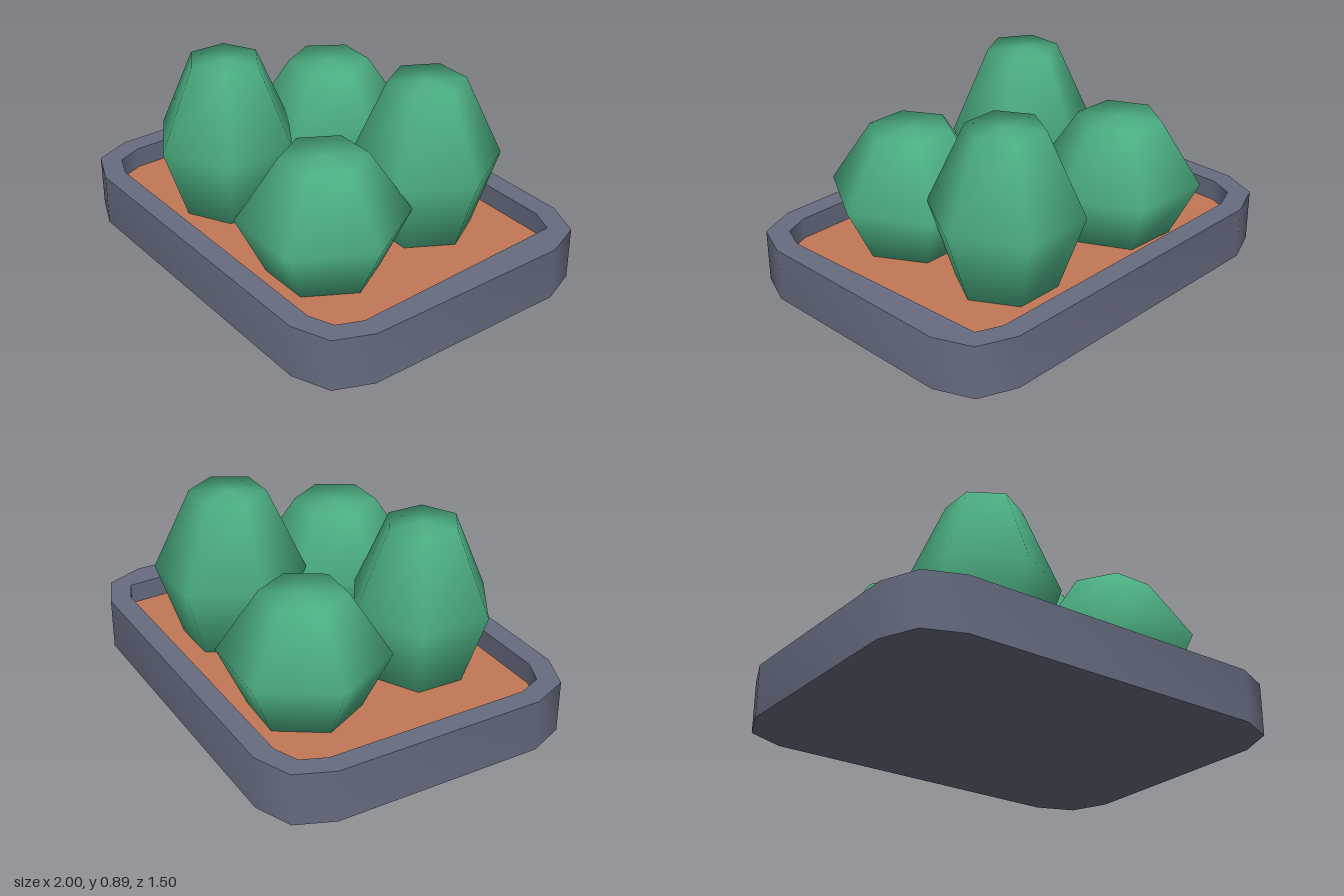
import * as THREE from 'three';
import { toCreasedNormals } from 'three/addons/utils/BufferGeometryUtils.js';

const mat = (name, color) => {
  const m = new THREE.MeshStandardMaterial({ color });
  m.name = name;
  return m;
};

// Rounded rectangle outline, two facets per corner, starting at the +x +y corner
function outline(halfX, halfY, r) {
  const points = [];
  [[1, 1], [-1, 1], [-1, -1], [1, -1]].forEach(([sx, sy], corner) => {
    for (let i = 0; i < 3; i++) {
      const a = corner * Math.PI / 2 + i * Math.PI / 4;
      points.push(new THREE.Vector2(
        sx * (halfX - r) + r * Math.cos(a), sy * (halfY - r) + r * Math.sin(a)));
    }
  });
  return points;
}

// Extrude a ground plan upwards from y = 0
function slab(shape, height) {
  const g = new THREE.ExtrudeGeometry(shape, { depth: height, bevelEnabled: false });
  g.rotateX(-Math.PI / 2);
  return toCreasedNormals(g, 0.87);
}

// Smooth six-sided bush: three rings closed by a fan at each end
function bushGeometry(radius, height) {
  const rings = [[0.66, 0], [1, 0.475], [0.5, 1]];
  const sides = 6, pos = [], index = [];
  for (const [k, h] of rings) {
    for (let i = 0; i < sides; i++) {
      const a = i * 2 * Math.PI / sides;
      pos.push(k * radius * Math.cos(a), h * height, k * radius * Math.sin(a));
    }
  }
  const bottom = rings.length * sides, top = bottom + 1, last = bottom - sides;
  pos.push(0, 0, 0, 0, height, 0);
  for (let i = 0; i < sides; i++) {
    const j = (i + 1) % sides;
    for (let r = 0; r < rings.length - 1; r++) {
      const a = r * sides + i, b = r * sides + j;
      index.push(a, a + sides, b, b, a + sides, b + sides);
    }
    index.push(bottom, i, j, top, last + j, last + i);
  }
  const g = new THREE.BufferGeometry();
  g.setAttribute('position', new THREE.Float32BufferAttribute(pos, 3));
  g.setIndex(index);
  g.computeVertexNormals();
  return g;
}

export function createModel() {
  const group = new THREE.Group();
  const stone = mat('slate stone', 0x666c80);
  const earth = mat('terracotta soil', 0xc27856);
  const leaf = mat('leaf green', 0x4caf82);
  const add = (name, geometry, material) => {
    const mesh = new THREE.Mesh(geometry, material);
    mesh.name = name;
    group.add(mesh);
    return mesh;
  };

  const floorY = 0.15;
  // The inner outline cuts one corner point, so its +x wall is slightly slanted
  const inner = outline(0.9, 0.65, 0.165).slice(1);

  // Planter walls and base
  const wall = new THREE.Shape(outline(1, 0.75, 0.25));
  wall.holes.push(new THREE.Path(inner));
  add('planterWall', slab(wall, 0.25), stone);
  add('planterBase', slab(new THREE.Shape(inner), floorY - 0.01), stone);

  // Soil surface
  const soil = new THREE.ShapeGeometry(new THREE.Shape(inner));
  soil.rotateX(-Math.PI / 2);
  add('soil', soil, earth).position.y = floorY;

  // Bushes: x, z, radius, height, turn in degrees
  const bushes = [
    ['frontLeftBush', 0.37, 0.29, 0.39, 0.56, 0],
    ['frontRightBush', -0.363, 0.3, 0.342, 0.74, 32],
    ['backLeftBush', 0.355, -0.29, 0.356, 0.74, 0],
    ['backRightBush', -0.375, -0.305, 0.387, 0.56, 3],
  ];
  for (const [name, x, z, radius, height, turn] of bushes) {
    const bush = add(name, bushGeometry(radius, height), leaf);
    bush.position.set(x, floorY, z);
    bush.rotation.y = -THREE.MathUtils.degToRad(turn);
  }
  return group;
}
